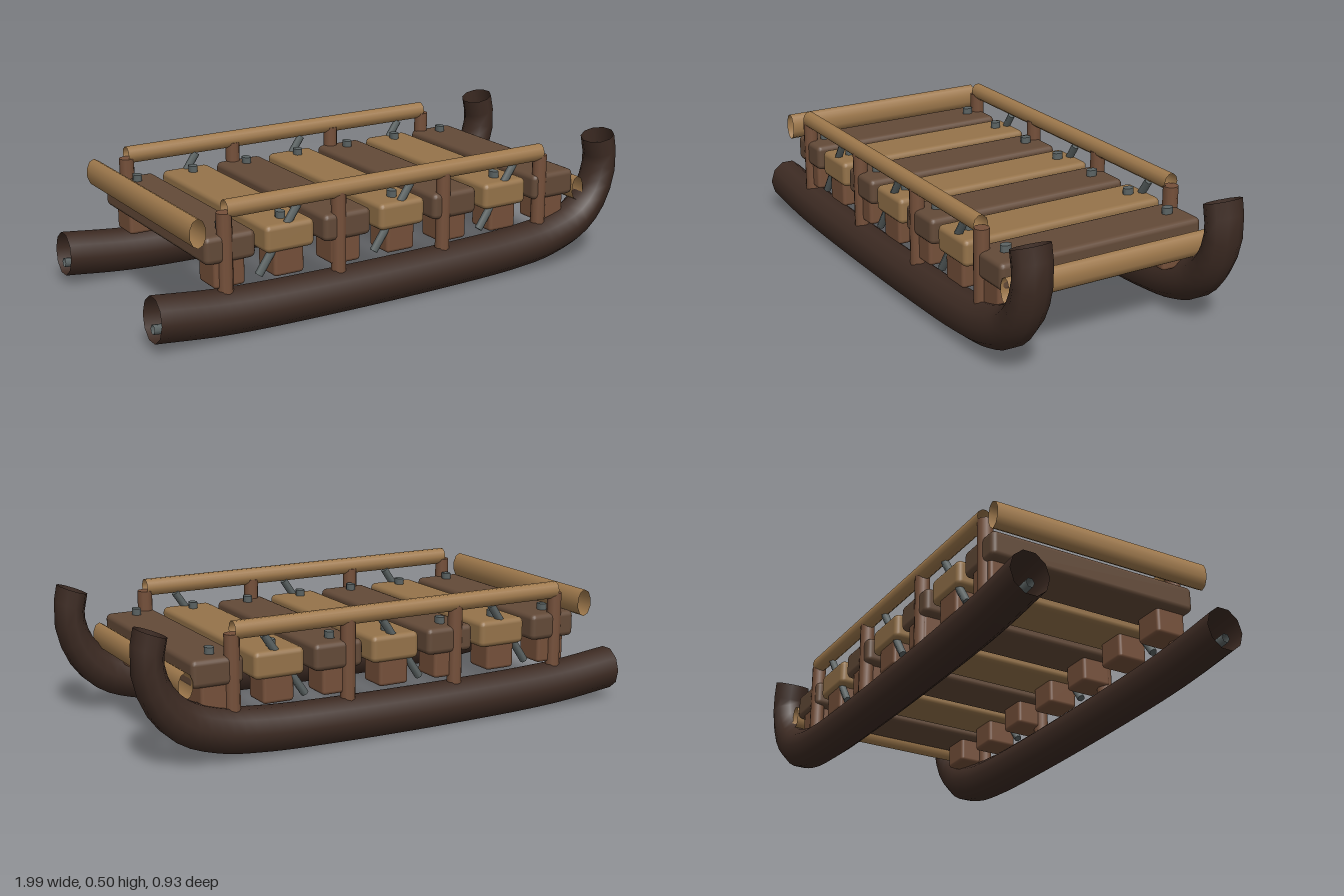
import * as THREE from 'three';
import { RoundedBoxGeometry } from 'three/addons/geometries/RoundedBoxGeometry.js';

const mat = (color) => new THREE.MeshStandardMaterial({ color, side: THREE.DoubleSide });

export function createModel() {
  const group = new THREE.Group();
  const runnerWood = mat(0x3d2b23), railWood = mat(0xa07a4d), postWood = mat(0x75503a);
  const darkWood = mat(0x634a38), lightWood = mat(0x95734a), iron = mat(0x5c6464);

  const add = (name, geometry, material, x = 0, y = 0, z = 0) => {
    const mesh = new THREE.Mesh(geometry, material);
    mesh.name = name;
    mesh.position.set(x, y, z);
    group.add(mesh);
    return mesh;
  };

  // Runner path, bent up at the nose; the tube section is oval (narrow in x, tall in y)
  const sx = 0.75, sy = 1.12;
  const path = [[-0.993, 0.12], [-0.72, 0.093], [-0.25, 0.082], [0.25, 0.085], [0.52, 0.095],
    [0.69, 0.117], [0.83, 0.172], [0.91, 0.265], [0.943, 0.385], [0.927, 0.487]];
  const curve = new THREE.CatmullRomCurve3(path.map(([x, y]) => new THREE.Vector3(x / sx, y / sy, 0)));
  const runnerGeo = new THREE.TubeGeometry(curve, 48, 0.0745, 10);
  const coreGeo = new THREE.TubeGeometry(curve, 48, 0.016, 6);

  // Shared pieces
  const railGeo = new THREE.CylinderGeometry(0.028, 0.028, 1.355, 10, 1, true).rotateZ(Math.PI / 2).scale(1, 1.17, 1);
  const postGeo = new THREE.CylinderGeometry(0.028, 0.028, 0.295, 10);
  const plankGeo = new RoundedBoxGeometry(0.195, 0.1, 0.83, 2, 0.02);
  const blockGeo = new RoundedBoxGeometry(0.12, 0.12, 0.12, 2, 0.013);
  const nailGeo = new THREE.CylinderGeometry(0.02, 0.02, 0.05, 8).scale(0.85, 1, 1.1);
  const strutGeo = new THREE.CylinderGeometry(0.015, 0.015, 0.28, 6);

  for (const side of [1, -1]) {
    const s = side > 0 ? 'left' : 'right';
    add(s + 'Runner', runnerGeo, runnerWood, 0, 0, side * 0.39).scale.set(sx, sy, 1);
    add(s + 'RunnerCore', coreGeo, iron, 0, -0.035, side * 0.39).scale.set(sx, sy, 1);
    add(s + 'Rail', railGeo, railWood, -0.043, 0.462, side * 0.397);
    for (let i = 0; i < 4; i++) add(s + 'Post', postGeo, postWood, -0.72 + i * 0.452, 0.303, side * 0.395);
    // Slanted braces between the posts
    for (let i = 0; i < 3; i++) {
      add(s + 'Brace', strutGeo, iron, -0.51 + i * 0.472, 0.315, side * 0.39).rotation.z = -0.6;
    }
  }

  // Deck planks with support blocks and nail heads
  for (let i = 0; i < 7; i++) {
    const x = -0.705 + i * 0.2333;
    add('plank', plankGeo, i % 2 ? lightWood : darkWood, x, 0.325, 0);
    for (const side of [1, -1]) {
      add('plankSupport', blockGeo, postWood, x, 0.242, side * 0.342);
      add('nail', nailGeo, iron, x, 0.374, side * 0.337);
    }
  }

  // Hollow oval crossbars at the tail and nose
  const crossbar = (name, length, rx, ry, x, y) => {
    const geo = new THREE.CylinderGeometry(1, 1, length, 10, 1, true).rotateX(Math.PI / 2).scale(rx, ry, 1);
    add(name, geo, railWood, x, y, 0);
  };
  crossbar('rearCrossbar', 0.866, 0.031, 0.052, -0.836, 0.404);
  crossbar('frontCrossbar', 0.83, 0.027, 0.048, 0.816, 0.293);

  return group;
}
